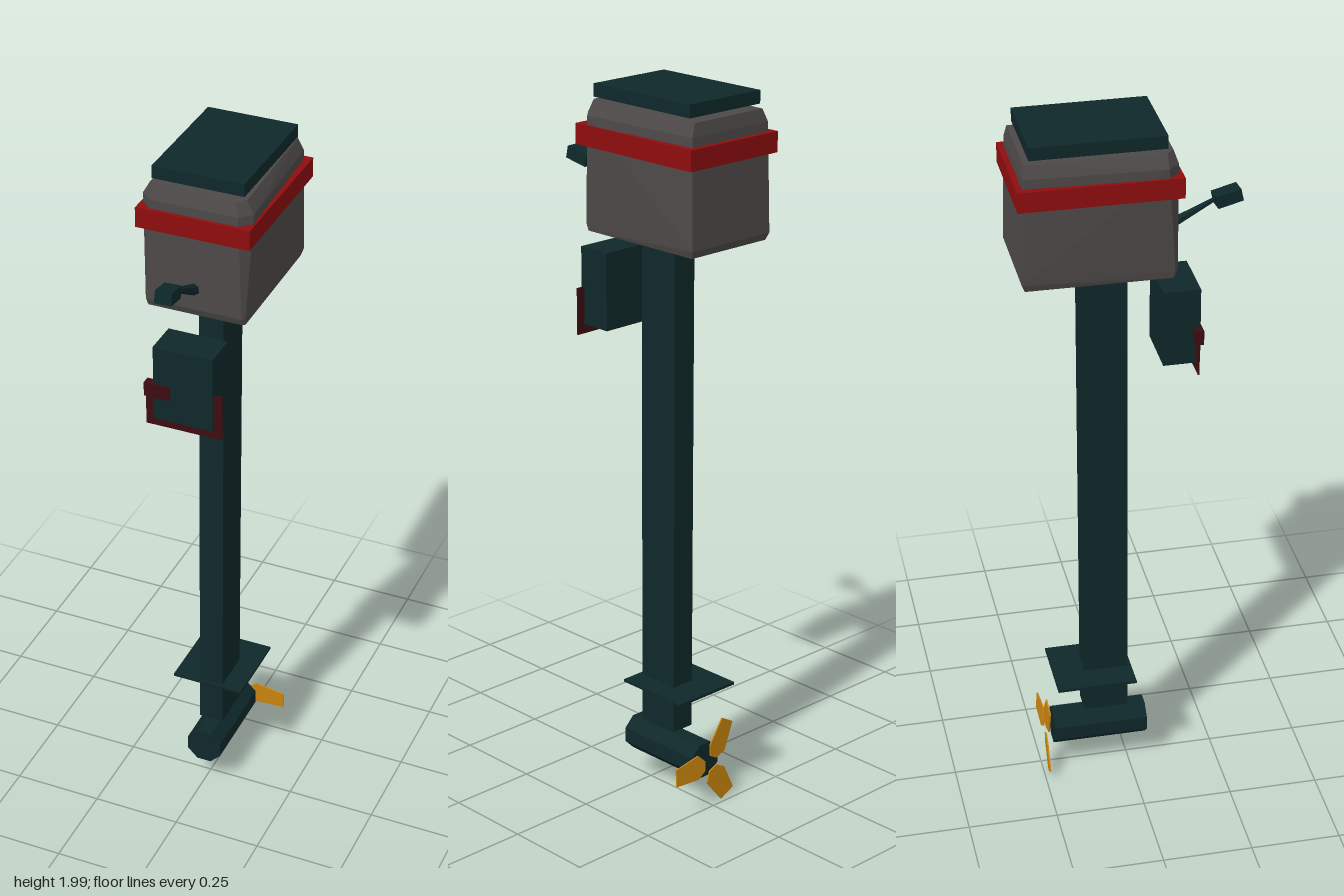
import * as THREE from 'three';
import { ConvexGeometry } from 'three/addons/geometries/ConvexGeometry.js';

const mat = (name, color, side = THREE.FrontSide) => {
  const m = new THREE.MeshStandardMaterial({ color, side, flatShading: true });
  m.name = name;
  return m;
};

export function createModel() {
  const model = new THREE.Group();
  model.name = 'outboardMotor';
  const teal = mat('darkTeal', 0x0f282a);
  const grey = mat('warmGrey', 0x4e4949);
  const red = mat('bandRed', 0x8e0d0f);
  const maroon = mat('clampMaroon', 0x3c0d10);
  const gold = mat('propellerGold', 0xcb870f, THREE.DoubleSide);

  const add = (name, geometry, material, parent = model) => {
    const mesh = new THREE.Mesh(geometry, material);
    mesh.name = name;
    parent.add(mesh);
    return mesh;
  };
  // Box given by its minimum and maximum on each axis
  const box = (name, material, [x0, x1], [y0, y1], [z0, z1]) => {
    const mesh = add(name, new THREE.BoxGeometry(x1 - x0, y1 - y0, z1 - z0), material);
    mesh.position.set((x0 + x1) / 2, (y0 + y1) / 2, (z0 + z1) / 2);
    return mesh;
  };

  // Engine cowl: rings with front corners chamfered towards the top
  const cowlPoints = [];
  const ring = (y, back, front, zBack, zFront, chamfer) => {
    for (const s of [-1, 1]) {
      cowlPoints.push(
        new THREE.Vector3(s * back, y, zBack),
        new THREE.Vector3(s * front, y, zFront - chamfer),
        new THREE.Vector3(s * (front - chamfer), y, zFront));
    }
  };
  ring(1.61, 0.133, 0.136, -0.288, 0.1, 0.006);
  ring(1.63, 0.139, 0.138, -0.296, 0.108, 0.008);
  ring(1.92, 0.135, 0.15, -0.289, 0.11, 0.03);
  ring(1.955, 0.12, 0.13, -0.283, 0.098, 0.02);
  add('engineCowl', new ConvexGeometry(cowlPoints), grey);

  box('cowlBand', red, [-0.155, 0.155], [1.84, 1.895], [-0.305, 0.12]);
  box('topCap', teal, [-0.125, 0.125], [1.965, 2], [-0.27, 0.082]);

  // Leg and mounting bracket
  box('driveLeg', teal, [-0.035, 0.035], [0.2, 1.58], [-0.127, -0.002]);
  box('mountBracket', teal, [-0.083, 0.083], [1.325, 1.54], [0.083, 0.182]);
  box('clampPlate', maroon, [-0.107, 0.107], [1.3, 1.43], [0.171, 0.175]);
  box('clampKnob', maroon, [-0.108, -0.036], [1.39, 1.43], [0.162, 0.186]);

  // Tiller arm and grip
  const from = new THREE.Vector3(0, 1.685, 0.1);
  const to = new THREE.Vector3(0, 1.757, 0.24);
  const dir = to.clone().sub(from);
  const armGeo = new THREE.CylinderGeometry(0.006, 0.016, dir.length(), 6);
  const arm = add('tillerArm', armGeo, teal);
  arm.position.copy(from).add(to).multiplyScalar(0.5);
  arm.quaternion.setFromUnitVectors(new THREE.Vector3(0, 1, 0), dir.normalize());
  const grip = add('tillerGrip', new THREE.BoxGeometry(0.045, 0.034, 0.07), teal);
  grip.position.set(0, 1.76, 0.267);
  grip.rotation.set(-0.22, 0.07, 0);

  // Plate above the propeller and gear case
  box('cavitationPlate', teal, [-0.112, 0.095], [0.328, 0.336], [-0.215, 0.008]);
  const gearGeo = new THREE.CylinderGeometry(0.054, 0.054, 0.267, 8);
  gearGeo.rotateY(Math.PI / 8).rotateX(Math.PI / 2);
  add('gearCase', gearGeo, teal).position.set(0, 0.135, -0.082);

  // Three-bladed propeller
  const propeller = new THREE.Group();
  propeller.name = 'propeller';
  propeller.position.set(0, 0.132, -0.236);
  model.add(propeller);
  const bladeShape = new THREE.Shape([
    [0.02, -0.014], [0.048, -0.032], [0.13, -0.026], [0.13, 0.024], [0.045, 0.038], [0.02, 0.014],
  ].map(([x, y]) => new THREE.Vector2(x, y)));
  for (let i = 0; i < 3; i++) {
    const spoke = new THREE.Group();
    spoke.rotation.z = i * Math.PI * 2 / 3;
    propeller.add(spoke);
    const blade = add('propellerBlade', new THREE.ExtrudeGeometry(bladeShape, { depth: 0.004, bevelEnabled: false }), gold, spoke);
    blade.position.z = -0.002;
    blade.rotation.x = 0.06;
  }
  return model;
}
